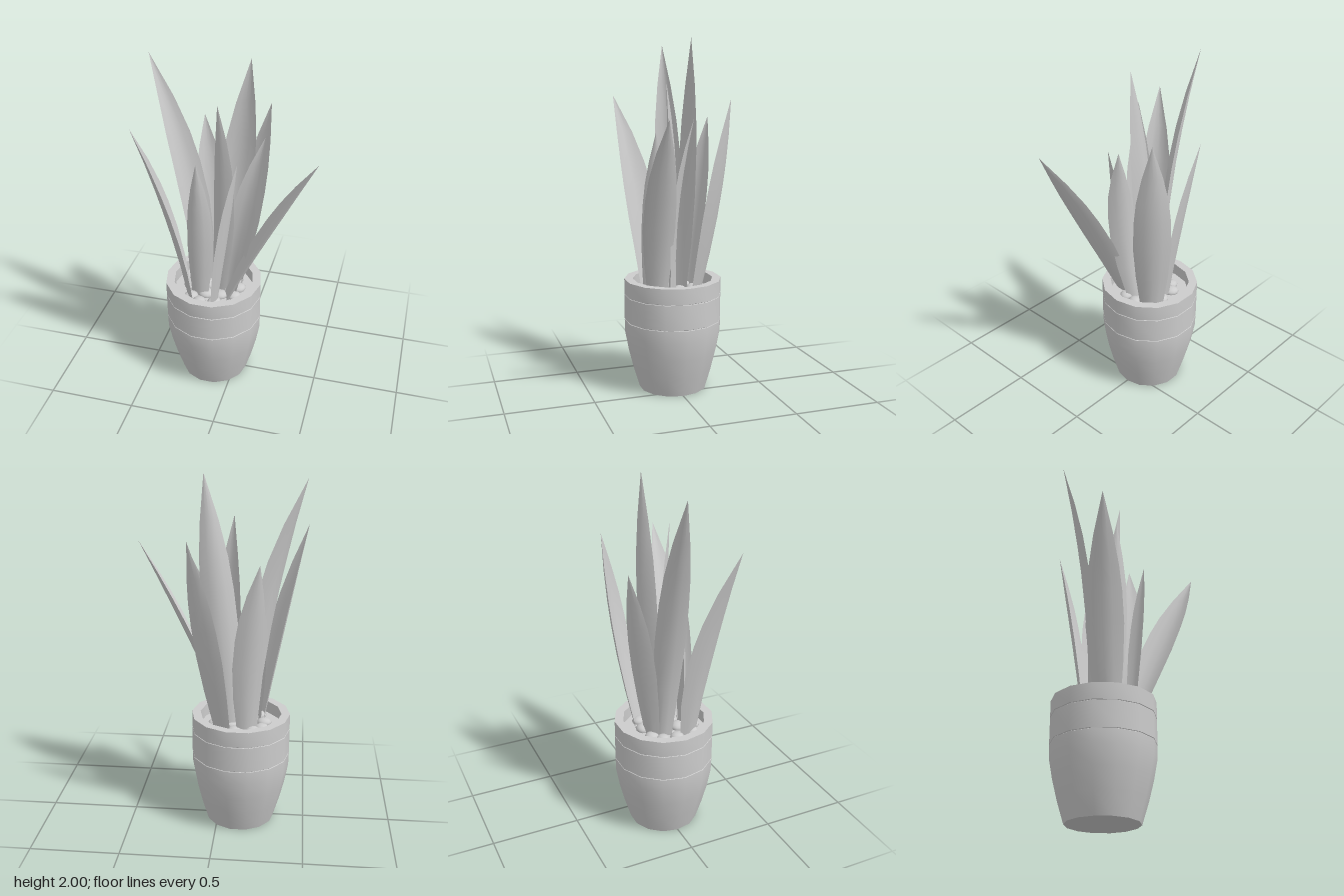
import * as THREE from 'three';
import { toCreasedNormals } from 'three/addons/utils/BufferGeometryUtils.js';

const POT_X = -0.127;
const V = (p) => new THREE.Vector3(...p);

// Blade: a shallow channel swept from the base through the shoulder to a pointed tip
function bladeGeometry({ base, shoulder, tip, across, width }) {
  const spine = new THREE.QuadraticBezierCurve3();
  const start = V(base), mid = V(shoulder), end = V(tip);
  const share = (mid.y - start.y) / (end.y - start.y);
  // control point chosen so that the curve passes through the shoulder
  spine.v0 = start;
  spine.v2 = end;
  spine.v1 = mid.clone()
    .addScaledVector(start, -((1 - share) ** 2))
    .addScaledVector(end, -(share ** 2))
    .divideScalar(2 * share * (1 - share));

  const side = new THREE.Vector3(across[0], 0, across[1]).normalize();
  const out = new THREE.Vector3(-side.z, 0, side.x);
  const lean = new THREE.Vector3((start.x + mid.x) / 2 - POT_X, 0, (start.z + mid.z) / 2);
  if (out.dot(lean) < 0) out.negate();

  // [position along the spine, share of the full width]
  const sections = [[0, 0.63], [share * 0.3, 0.87], [share * 0.58, 1], [share * 0.82, 0.95],
    [share, 0.82], [share + (1 - share) * 0.45, 0.52], [1, 0]];
  const cols = [-1, -0.5, 0, 0.5, 1];
  const pos = [], index = [];
  for (const [t, w] of sections) {
    const c = spine.getPoint(t);
    for (const u of cols) {
      const p = c.clone()
        .addScaledVector(side, u * w * width / 2)
        .addScaledVector(out, (0.5 - u * u) * w * width * 0.19);
      pos.push(p.x, p.y, p.z);
    }
  }
  const n = cols.length;
  for (let i = 0; i < sections.length - 1; i++) {
    for (let j = 0; j < n - 1; j++) {
      const a = i * n + j, b = a + 1, c = a + n, d = c + 1;
      index.push(a, b, c);
      if (i < sections.length - 2) index.push(b, d, c);
    }
  }
  const geo = new THREE.BufferGeometry();
  geo.setAttribute('position', new THREE.Float32BufferAttribute(pos, 3));
  geo.setIndex(index);
  geo.computeVertexNormals();
  return geo;
}

export function createModel() {
  const model = new THREE.Group();
  model.name = 'pottedPlant';
  const grey = new THREE.MeshStandardMaterial({ color: 0xcccccc });
  const leafGrey = new THREE.MeshStandardMaterial({ color: 0xcccccc, side: THREE.DoubleSide });

  // Fourteen-sided pot with two fine grooves and an open rim
  const profile = [[0, 0], [0.196, 0], [0.232, 0.12], [0.259, 0.23], [0.278, 0.335],
    [0.28, 0.409], [0.277, 0.411], [0.277, 0.412], [0.28, 0.414],
    [0.28, 0.556], [0.277, 0.558], [0.277, 0.559], [0.28, 0.561],
    [0.28, 0.65], [0.231, 0.65], [0.231, 0.56]].map((p) => new THREE.Vector2(...p));
  const pot = new THREE.Mesh(
    toCreasedNormals(new THREE.LatheGeometry(profile, 14, Math.PI / 14), 0.6), grey);
  pot.name = 'pot';
  pot.position.x = POT_X;
  model.add(pot);

  // Soil
  const soil = new THREE.Mesh(new THREE.CircleGeometry(0.231, 14), grey);
  soil.name = 'soil';
  soil.rotation.x = -Math.PI / 2;
  soil.position.set(POT_X, 0.58, 0);
  model.add(soil);

  // Pebbles lying on the soil: x, z, radius
  const pebbles = [[-0.1, -0.115, 0.045], [-0.16, -0.015, 0.046], [-0.155, 0.075, 0.047],
    [-0.23, 0.12, 0.042], [-0.17, 0.16, 0.042], [-0.07, 0.07, 0.043], [-0.085, 0.145, 0.044],
    [-0.26, 0.02, 0.043], [-0.075, -0.025, 0.045], [-0.2, -0.105, 0.045], [0.01, 0.06, 0.04],
    [-0.01, -0.1, 0.042], [-0.25, -0.06, 0.042], [0.02, -0.02, 0.042]];
  const pebbleGeo = new THREE.SphereGeometry(1, 12, 8);
  const pebbleGroup = new THREE.Group();
  pebbleGroup.name = 'pebbles';
  pebbles.forEach(([x, z, r], i) => {
    const pebble = new THREE.Mesh(pebbleGeo, grey);
    pebble.name = 'pebble';
    pebble.position.set(x, 0.586, z);
    pebble.scale.set(r, r * 0.6, r * 0.92);
    pebble.rotation.y = i * 1.3;
    pebbleGroup.add(pebble);
  });
  model.add(pebbleGroup);

  // Leaves: base, shoulder where the point begins, tip, direction across (x, z), full width
  const leaves = [
    [[-0.19, 0.58, -0.04], [-0.325, 1.55, -0.03], [-0.465, 1.98, -0.045], [0.7, -0.7], 0.17],
    [[-0.07, 0.58, -0.04], [0.02, 1.56, -0.06], [0.075, 2.0, -0.04], [0.97, -0.2], 0.19],
    [[-0.1, 0.58, 0.02], [-0.065, 1.41, 0.035], [-0.08, 1.77, 0.05], [0.85, 0.5], 0.16],
    [[-0.02, 0.58, -0.115], [0.095, 1.33, -0.213], [0.14, 1.68, -0.245], [0.72, 0.62], 0.21],
    [[-0.03, 0.58, 0.02], [0.095, 1.29, 0.02], [0.155, 1.58, -0.03], [0.9, 0.35], 0.16],
    [[-0.03, 0.58, 0.115], [0.3, 1.28, 0.183], [0.477, 1.59, 0.21], [0.2, 0.98], 0.2],
    [[-0.24, 0.58, 0.11], [-0.375, 1.3, 0.175], [-0.482, 1.69, 0.253], [0.36, 0.93], 0.21],
    [[-0.19, 0.58, 0.09], [-0.19, 1.15, 0.075], [-0.2, 1.42, 0.065], [0.98, 0.15], 0.16],
    [[-0.17, 0.58, -0.1], [-0.2, 1.27, -0.2], [-0.235, 1.57, -0.25], [0.9, -0.4], 0.18],
    [[-0.08, 0.58, 0.15], [0.005, 1.22, 0.15], [0.05, 1.5, 0.15], [0.3, -0.95], 0.12],
  ];
  const leafGroup = new THREE.Group();
  leafGroup.name = 'leaves';
  for (const [base, shoulder, tip, across, width] of leaves) {
    const leaf = new THREE.Mesh(bladeGeometry({ base, shoulder, tip, across, width }), leafGrey);
    leaf.name = 'leaf';
    leafGroup.add(leaf);
  }
  model.add(leafGroup);

  return model;
}
